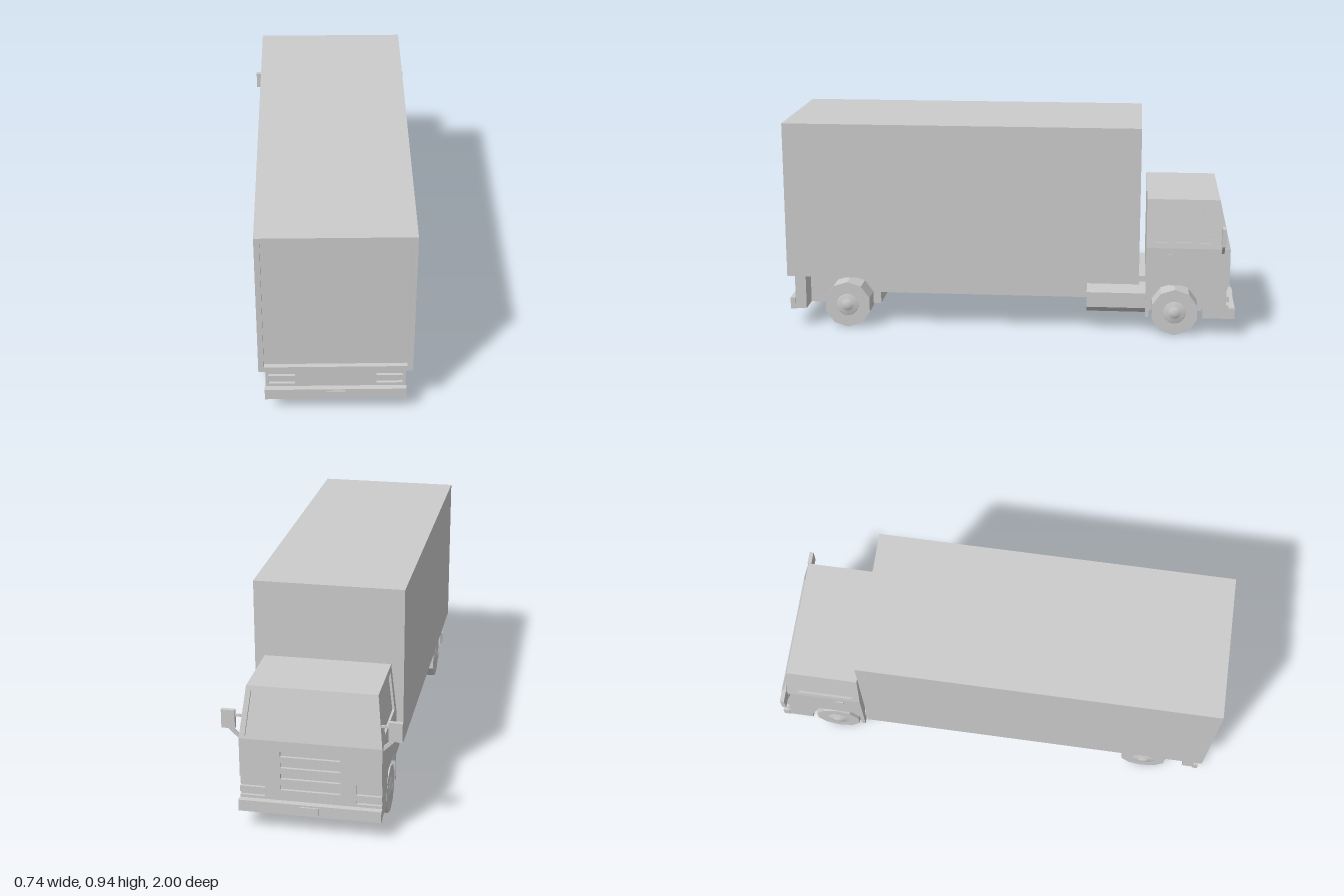
import * as THREE from 'three';

const flat = new THREE.MeshStandardMaterial({ color: 0xcccccc, flatShading: true });
const smooth = new THREE.MeshStandardMaterial({ color: 0xcccccc });

export function createModel() {
  const truck = new THREE.Group();
  truck.name = 'boxTruck';

  const add = (name, geo, mat = flat) => {
    const mesh = new THREE.Mesh(geo, mat);
    mesh.name = name;
    truck.add(mesh);
    return mesh;
  };

  // Box given by its extents on each axis
  const box = (name, x0, x1, y0, y1, z0, z1) =>
    add(name, new THREE.BoxGeometry(Math.abs(x1 - x0), y1 - y0, Math.abs(z1 - z0))
      .translate((x0 + x1) / 2, (y0 + y1) / 2, (z0 + z1) / 2));

  const rect = (Type, x0, x1, y0, y1) => new Type(
    [[x0, y0], [x1, y0], [x1, y1], [x0, y1]].map(p => new THREE.Vector2(...p)));

  // Upright plate with rectangular openings, from z0 to z1
  const panel = (name, halfW, y0, y1, z0, z1, holes) => {
    const shape = rect(THREE.Shape, -halfW, halfW, y0, y1);
    for (const h of holes) shape.holes.push(rect(THREE.Path, ...h));
    add(name, new THREE.ExtrudeGeometry(shape, { depth: z1 - z0, bevelEnabled: false }).translate(0, 0, z0));
  };

  // Side profile of [-z, y] points, extruded between x0 and x1
  const sideExtrude = (name, points, x0, x1) => {
    const shape = new THREE.Shape(points.map(p => new THREE.Vector2(...p)));
    add(name, new THREE.ExtrudeGeometry(shape, { depth: x1 - x0, bevelEnabled: false })
      .rotateY(Math.PI / 2).translate(x0, 0, 0));
  };

  // Quad with a sunken window; corners run counter-clockwise seen from outside
  const framedQuad = (name, corners, uvs, depth, flip = false) => {
    let outer = corners.map(c => new THREE.Vector3(...c));
    let inner = uvs.map(([u, v]) => outer[0].clone().lerp(outer[1], u)
      .lerp(outer[3].clone().lerp(outer[2], u), v));
    if (flip) { outer.reverse(); inner.reverse(); }
    const normal = outer[1].clone().sub(outer[0]).cross(outer[3].clone().sub(outer[0])).normalize();
    const sunk = inner.map(p => p.clone().addScaledVector(normal, -depth));
    const pos = [];
    const quad = (a, b, c, d) => [a, b, c, a, c, d].forEach(p => pos.push(p.x, p.y, p.z));
    for (let i = 0; i < 4; i++) {
      const j = (i + 1) % 4;
      quad(outer[i], outer[j], inner[j], inner[i]);
      quad(inner[i], inner[j], sunk[j], sunk[i]);
    }
    quad(...sunk);
    const geo = new THREE.BufferGeometry();
    geo.setAttribute('position', new THREE.Float32BufferAttribute(pos, 3));
    geo.computeVertexNormals();
    add(name, geo);
  };

  // Cargo box with a sunken rear door
  box('cargoBox', -0.32, 0.32, 0.24, 0.935, -0.57, 0.98);
  panel('cargoDoorFrame', 0.32, 0.24, 0.935, 0.98, 1, [[-0.297, 0.297, 0.265, 0.91]]);

  // Chassis, deeper around the axles
  box('chassis', -0.19, 0.19, 0.135, 0.24, -0.62, 0.93);
  box('rearChassis', -0.19, 0.19, 0.083, 0.24, 0.6, 0.93);

  // Tail panel with lamp recesses, and bumper
  const lamps = [];
  for (const [y0, y1] of [[0.19, 0.23], [0.148, 0.163]]) {
    lamps.push([0.17, 0.28, y0, y1], [-0.28, -0.17, y0, y1]);
  }
  box('tailBlock', -0.293, 0.293, 0.083, 0.24, 0.923, 0.96);
  panel('tailLampPanel', 0.293, 0.083, 0.24, 0.96, 0.972, lamps);
  box('rearBumper', -0.297, 0.297, 0.08, 0.133, 0.972, 0.995);
  box('rearPlate', -0.04, 0.04, 0.093, 0.125, 0.995, 0.999);

  // Cab centre, slotted grille and front bumper
  box('cabCore', -0.19, 0.19, 0.083, 0.4, -0.955, -0.6);
  panel('grille', 0.19, 0.083, 0.4, -0.967, -0.955,
    [0.33, 0.28, 0.23, 0.18].map(y => [-0.125, 0.125, y, y + 0.024]));
  box('frontBumper', -0.297, 0.297, 0.083, 0.133, -0.994, -0.967);
  box('frontPlate', -0.04, 0.04, 0.093, 0.125, -1, -0.994);

  // Cab flanks with wheel arch and headlamp notches
  const flank = [
    [0.6, 0.083], [0.615, 0.083], [0.62, 0.18], [0.65, 0.232], [0.81, 0.232], [0.853, 0.12], [0.853, 0.083],
    [0.967, 0.083], [0.967, 0.145], [0.955, 0.145], [0.955, 0.16], [0.967, 0.16],
    [0.967, 0.185], [0.955, 0.185], [0.955, 0.23], [0.967, 0.23], [0.967, 0.4], [0.6, 0.4],
  ];
  sideExtrude('cabFlankLeft', flank, 0.19, 0.295);
  sideExtrude('cabFlankRight', flank, -0.295, -0.19);

  // Cab upper part: windscreen, roof and back wall
  framedQuad('windscreen',
    [[0.295, 0.4, -0.967], [-0.295, 0.4, -0.967], [-0.27, 0.615, -0.917], [0.27, 0.615, -0.917]],
    [[0.04, 0.05], [0.96, 0.05], [0.96, 0.91], [0.04, 0.91]], 0.01);
  const roof = new THREE.PlaneGeometry(0.54, 0.317).rotateX(-Math.PI / 2).translate(0, 0.615, -0.7585);
  add('cabRoof', roof);
  const back = new THREE.Shape([[-0.295, 0.4], [0.295, 0.4], [0.27, 0.615], [-0.27, 0.615]]
    .map(p => new THREE.Vector2(...p)));
  add('cabBack', new THREE.ShapeGeometry(back).translate(0, 0, -0.6));

  // Wheel hub profile, turned around the axle
  const hub = [[0.05, 0], [0.045, 0.004], [0.028, 0.005], [0.022, 0.01], [0.012, 0.013], [0, 0.014]]
    .map(p => new THREE.Vector2(...p));

  for (const s of [1, -1]) {
    const side = s > 0 ? 'Left' : 'Right';

    framedQuad('sideWindow' + side,
      [[s * 0.295, 0.4, -0.6], [s * 0.295, 0.4, -0.967], [s * 0.27, 0.615, -0.917], [s * 0.27, 0.615, -0.6]],
      [[0.1, 0.12], [0.79, 0.12], [0.76, 0.88], [0.1, 0.88]], 0.01, s < 0);
    box('doorHandle' + side, s * 0.293, s * 0.3, 0.363, 0.375, -0.715, -0.68);

    // Mirror with a lower brace and an upper arm
    box('mirror' + side, s * 0.315, s * 0.372, 0.43, 0.51, -0.943, -0.925);
    box('mirrorArm' + side, s * 0.28, s * 0.32, 0.482, 0.492, -0.938, -0.93);
    const brace = new THREE.Shape([[0.29, 0.375], [0.345, 0.43], [0.325, 0.43], [0.29, 0.395]]
      .map(([x, y]) => new THREE.Vector2(s * x, y)));
    add('mirrorBrace' + side, new THREE.ExtrudeGeometry(brace, { depth: 0.012, bevelEnabled: false })
      .translate(0, 0, -0.94));

    // Chamfered side tank behind the cab
    const tank = new THREE.Shape([[0.19, 0.083], [0.225, 0.083], [0.27, 0.115], [0.27, 0.183], [0.25, 0.215], [0.19, 0.215]]
      .map(([x, y]) => new THREE.Vector2(s * x, y)));
    add('sideTank' + side, new THREE.ExtrudeGeometry(tank, { depth: 0.26, bevelEnabled: false })
      .translate(0, 0, -0.6));

    // Wheels and hubs
    for (const [end, z] of [['rear', 0.735], ['front', -0.73]]) {
      add(end + 'Wheel' + side, new THREE.CylinderGeometry(0.105, 0.105, 0.103, 10)
        .rotateZ(Math.PI / 2).rotateX(Math.PI / 2)).position.set(s * 0.2415, 0.105, z);
      add(end + 'Hub' + side, new THREE.LatheGeometry(hub, 20).rotateZ(-s * Math.PI / 2), smooth)
        .position.set(s * 0.2925, 0.105, z);
    }
  }

  // Axles
  for (const [end, z] of [['rear', 0.735], ['front', -0.73]]) {
    add(end + 'Axle', new THREE.CylinderGeometry(0.045, 0.045, 0.4, 10)
      .rotateZ(Math.PI / 2).rotateX(Math.PI / 2)).position.set(0, 0.105, z);
  }

  return truck;
}
